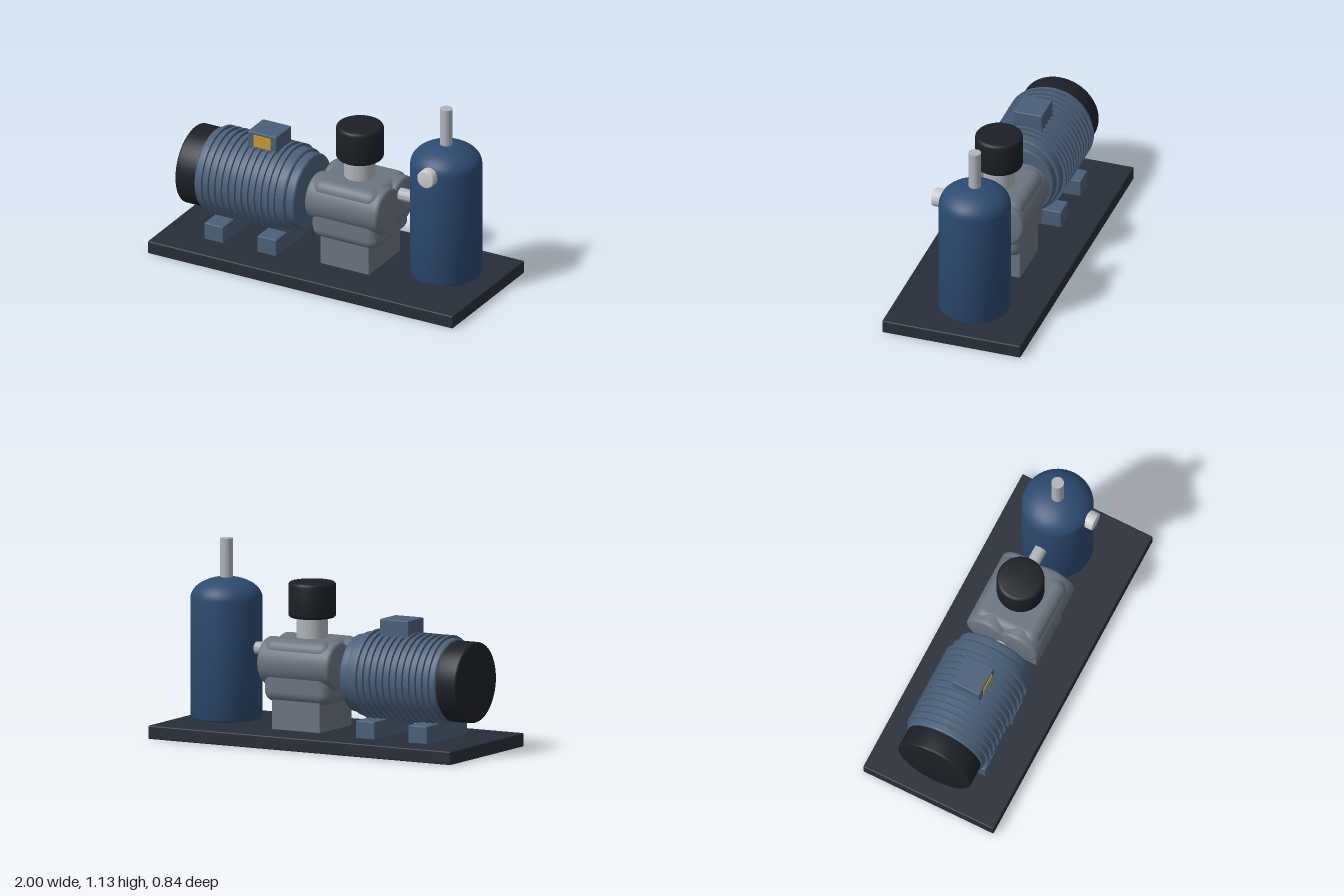
import * as THREE from 'three';
import { toCreasedNormals } from 'three/addons/utils/BufferGeometryUtils.js';
import { RoundedBoxGeometry } from 'three/addons/geometries/RoundedBoxGeometry.js';

const paint = (color) => new THREE.MeshStandardMaterial({ color });
const mats = {
  base: paint(0x282e38), motor: paint(0x4a6078), dark: paint(0x1c2026), casting: paint(0x6c7580),
  steel: paint(0xb0b4ba), tank: paint(0x2c4b70), plate: paint(0xc89a30), gauge: paint(0xd8dadc),
};

// Solid of revolution from [radius, height] points, bottom to top, with crisp edges kept
function turned(points) {
  const lathe = new THREE.LatheGeometry(points.map(([r, y]) => new THREE.Vector2(r, y)), 56);
  return toCreasedNormals(lathe, 0.55);
}

// Closed cylinder from y = 0 to length with rounded rims
function roundedCylinder(radius, length, bevel = 0) {
  const points = [[0, 0]];
  const steps = bevel > 0 ? 4 : 0;
  for (const end of [0, 1]) {
    for (let i = 0; i <= steps; i++) {
      const a = (end + (steps ? i / steps : 0)) * Math.PI / 2;
      const c = end ? Math.cos(a - Math.PI / 2) : Math.sin(a);
      const s = end ? Math.sin(a - Math.PI / 2) : Math.cos(a);
      points.push([radius - bevel + bevel * c, end ? length - bevel + bevel * s : bevel - bevel * s]);
    }
  }
  points.push([0, length]);
  return turned(points);
}

export function createModel() {
  const root = new THREE.Group();
  root.name = 'compressorUnit';

  const add = (parent, name, geometry, material, x = 0, y = 0, z = 0) => {
    const mesh = new THREE.Mesh(geometry, material);
    mesh.name = name;
    mesh.position.set(x, y, z);
    parent.add(mesh);
    return mesh;
  };
  const group = (name) => {
    const g = new THREE.Group();
    g.name = name;
    root.add(g);
    return g;
  };
  // Cylinder lying along x, from x0 to x1
  const lying = (parent, name, material, x0, x1, y, z, radius, bevel = 0) => {
    const mesh = add(parent, name, roundedCylinder(radius, x1 - x0, bevel), material, x0, y, z);
    mesh.rotation.z = -Math.PI / 2;
    return mesh;
  };
  const box = (w, h, d, r = 0.006) => new RoundedBoxGeometry(w, h, d, 2, r);

  // Skid plate
  add(root, 'basePlate', box(2, 0.078, 0.836, 0.008), mats.base, 0, 0.039, 0);

  // Electric motor
  const motor = group('motor');
  const axisY = 0.417;
  lying(motor, 'motorBody', mats.motor, -0.795, -0.205, axisY, 0, 0.243, 0.012);
  lying(motor, 'motorEndBell', mats.motor, -0.24, -0.15, axisY, 0, 0.224, 0.012);
  lying(motor, 'fanCover', mats.dark, -0.926, -0.785, axisY, 0, 0.233, 0.012);
  for (let i = 0; i < 12; i++) {
    const x = -0.747 + i * 0.0432;
    lying(motor, 'coolingFin', mats.motor, x - 0.008, x + 0.008, axisY, 0, 0.26);
  }
  for (const x of [-0.672, -0.325]) {
    add(motor, 'motorFoot', box(0.124, 0.105, 0.46), mats.motor, x, 0.126, 0);
  }
  add(motor, 'terminalBox', box(0.188, 0.14, 0.176), mats.motor, -0.435, 0.683, 0);
  add(motor, 'ratingPlate', new THREE.BoxGeometry(0.11, 0.072, 0.01), mats.plate, -0.433, 0.7, 0.088);
  lying(motor, 'driveShaft', mats.steel, -0.17, -0.05, axisY, 0, 0.033);

  // Compressor block: rounded casting with two side-by-side rotor housings
  const pump = group('compressorBlock');
  add(pump, 'pedestal', box(0.318, 0.2, 0.365), mats.casting, 0.159, 0.175, 0);
  add(pump, 'casting', new RoundedBoxGeometry(0.442, 0.365, 0.41, 5, 0.065), mats.casting, 0.157, 0.417, 0);
  for (const side of [-1, 1]) {
    lying(pump, 'rotorHousing', mats.casting, -0.083, 0.397, 0.46, side * 0.09, 0.139, 0.022);
  }

  // Air intake
  add(pump, 'intakeNeck', roundedCylinder(0.09, 0.16), mats.steel, 0.157, 0.57, 0);
  add(pump, 'intakeFilter', roundedCylinder(0.137, 0.206, 0.02), mats.dark, 0.157, 0.714, 0);

  // Separator tank with domed top
  const tank = group('separatorTank');
  const tx = 0.7, tz = -0.04, r = 0.206;
  const profile = [[0, 0.098], [r - 0.016, 0.098], [r - 0.005, 0.103], [r, 0.114], [r, 0.79]];
  for (let i = 1; i <= 14; i++) {
    const a = (i / 14) * Math.PI / 2;
    profile.push([i === 14 ? 0 : r * Math.cos(a), 0.79 + 0.123 * Math.sin(a)]);
  }
  add(tank, 'tankShell', turned(profile), mats.tank, tx, 0, tz);
  add(tank, 'outletPipe', roundedCylinder(0.036, 0.255), mats.steel, tx, 0.88, tz);
  lying(tank, 'connectingPipe', mats.steel, 0.36, 0.53, 0.517, -0.045, 0.037);
  const gauge = add(tank, 'pressureGauge', roundedCylinder(0.054, 0.062, 0.008), mats.gauge, tx, 0.785, 0.145);
  gauge.rotation.x = Math.PI / 2;

  return root;
}
